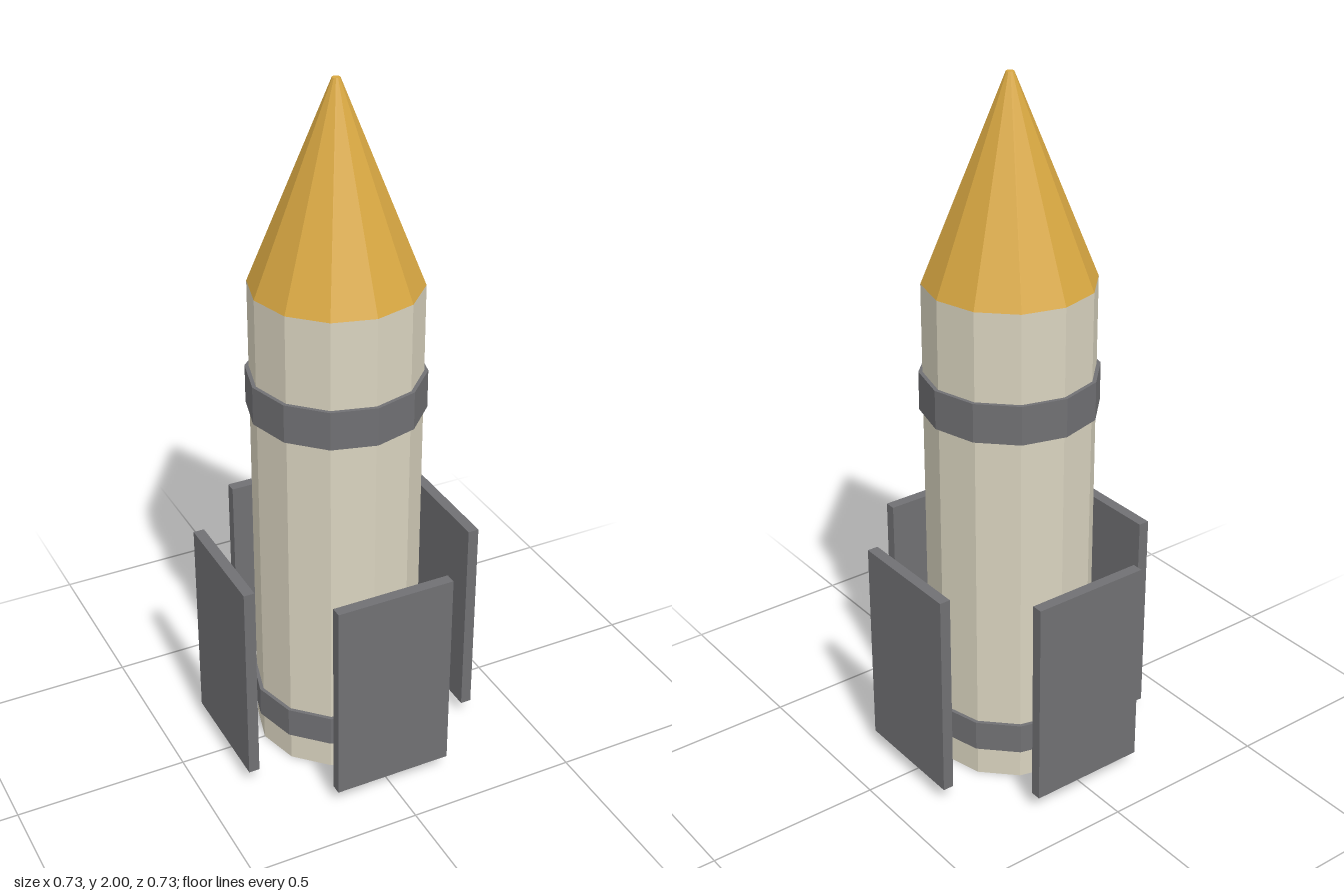
import * as THREE from 'three';

const mat = (name, color) => {
  const m = new THREE.MeshStandardMaterial({ color, flatShading: true });
  m.name = name;
  return m;
};

export function createModel() {
  const cream = mat('cream', 0xd9d3bf);
  const gold = mat('gold', 0xd9a842);
  const grey = mat('dark grey', 0x707073);

  const model = new THREE.Group();
  model.name = 'rocket';

  // Twelve-sided drum or cone between two heights
  const drum = (name, rTop, rBottom, y0, y1, material) => {
    const mesh = new THREE.Mesh(new THREE.CylinderGeometry(rTop, rBottom, y1 - y0, 12), material);
    mesh.name = name;
    mesh.position.y = (y0 + y1) / 2;
    model.add(mesh);
  };

  drum('body', 0.237, 0.237, 0, 1.44, cream);
  drum('noseCone', 0.011, 0.237, 1.44, 2, gold);
  drum('lowerBand', 0.248, 0.248, 0.09, 0.18, grey);
  drum('upperBand', 0.248, 0.248, 1.075, 1.187, grey);

  // Four flat fins standing clear of the body
  const finGeometry = new THREE.BoxGeometry(0.35, 0.616, 0.032);
  ['front', 'left', 'back', 'right'].forEach((side, i) => {
    const angle = (i * Math.PI) / 2;
    const fin = new THREE.Mesh(finGeometry, grey);
    fin.name = side + 'Fin';
    fin.position.set(Math.sin(angle) * 0.349, 0.353, Math.cos(angle) * 0.349);
    fin.rotation.y = angle;
    model.add(fin);
  });

  return model;
}
